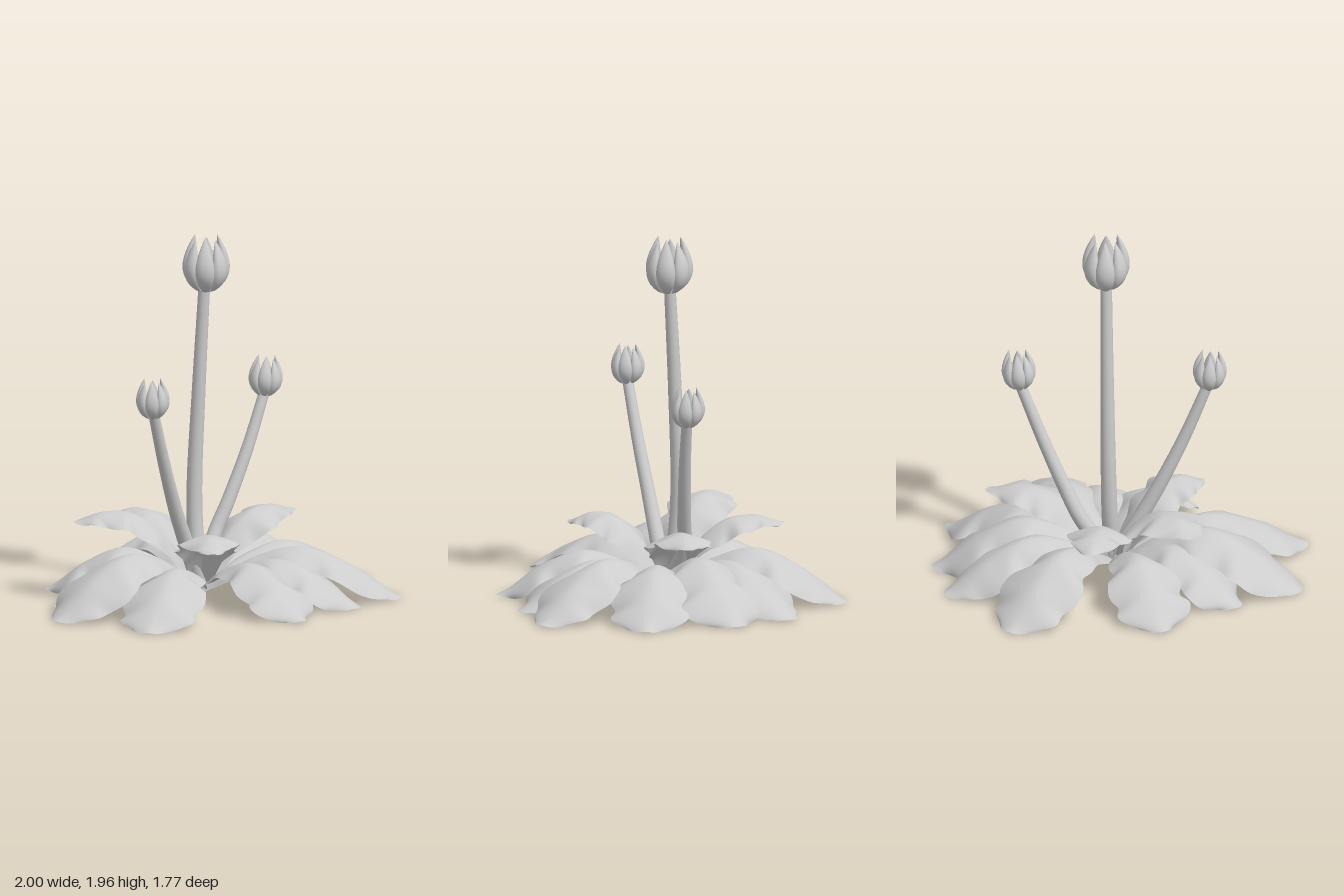
import * as THREE from 'three';
import { mergeVertices } from 'three/addons/utils/BufferGeometryUtils.js';

const plantGrey = new THREE.MeshStandardMaterial({ color: 0xcccccc, side: THREE.DoubleSide });
plantGrey.name = 'plantGrey';

// smooth interpolation of evenly spaced values, t in 0..1
const spline = (vals) => {
  const c = new THREE.SplineCurve(vals.map((v, i) => new THREE.Vector2(i, v)));
  return (t) => c.getPoint(t).y;
};
const lowerWidth = spline([0.16, 0.32, 0.46, 0.6, 0.76, 0.92, 1.0, 0.9, 0.36]);
const upperWidth = spline([0.22, 0.38, 0.58, 0.84, 1.0, 1.0, 0.88, 0.7, 0.36]);

// lobed, wavy, arched blade running from the crown to a tip
function leafGeometry(tx, tz, halfWidth, width, rise, seed) {
  const bx = 0.04, bz = 0, NT = 48, NS = 20;
  const len = Math.hypot(tx - bx, tz - bz);
  const dx = (tx - bx) / len, dz = (tz - bz) / len;
  const height = spline(rise);
  const pos = [], idx = [];
  for (let i = 0; i <= NT; i++) {
    const t = 1 - Math.pow(1 - i / NT, 1.25);
    for (let j = 0; j <= NS; j++) {
      const s = (j / NS) * 2 - 1, edge = Math.abs(s);
      const phase = seed + (s < 0 ? 0.9 : 0);
      // rounded lobes with tight notches between them
      const lobe = 1.09 - 0.2 * Math.pow(0.5 + 0.5 * Math.sin(t * 23 + phase), 2) * Math.min(1, t * 2);
      const half = halfWidth * width(t);
      const w = s * half * lobe;
      // the outer edge falls back at the tip
      const along = t * len - 0.05 * s * s * t * t;
      const ripple = 0.018 * edge * Math.min(1, t * 1.6) * Math.sin(t * 23 - edge * 2.5 + phase);
      // roof-like fall from the midrib, flattening towards the tip
      const droop = 0.66 * half * Math.pow(edge, 1.6) * (1 - 0.8 * t * t);
      const y = Math.max(0.002, height(t) - droop + ripple * (1 - 0.6 * t));
      pos.push(bx + dx * along - dz * w, y, bz + dz * along + dx * w);
      if (i < NT && j < NS) {
        const a = i * (NS + 1) + j, b = a + NS + 1;
        idx.push(a, a + 1, b, b, a + 1, b + 1);
      }
    }
  }
  const g = new THREE.BufferGeometry();
  g.setAttribute('position', new THREE.Float32BufferAttribute(pos, 3));
  g.setIndex(idx);
  g.computeVertexNormals();
  return g;
}

// tapered round stem along a curve
function stemGeometry(points, r0, r1) {
  const curve = new THREE.CatmullRomCurve3(points.map((p) => new THREE.Vector3(...p)));
  const n = 32, sides = 14;
  const g = new THREE.TubeGeometry(curve, n, 1, sides);
  const p = g.attributes.position, v = new THREE.Vector3();
  for (let i = 0; i < p.count; i++) {
    const t = Math.floor(i / (sides + 1)) / n, c = curve.getPointAt(t);
    v.fromBufferAttribute(p, i).sub(c).multiplyScalar(THREE.MathUtils.lerp(r0, r1, t)).add(c);
    p.setXYZ(i, v.x, v.y, v.z);
  }
  return g;
}

// pointed, plump petal bowed outwards along +z
function petalGeometry(height, bow) {
  const profile = [];
  for (let i = 0; i <= 16; i++) {
    const u = i / 16;
    profile.push(new THREE.Vector2(Math.pow(Math.sin(Math.PI * Math.pow(u, 0.8)), 0.95) + 1e-5, u));
  }
  let g = new THREE.LatheGeometry(profile, 14);
  const p = g.attributes.position;
  for (let i = 0; i < p.count; i++) {
    const u = p.getY(i);
    const out = bow * Math.sin(Math.PI * 0.76 * Math.pow(u, 0.55));
    p.setXYZ(i, p.getX(i) * 0.052, u * height, p.getZ(i) * 0.036 + out);
  }
  g.deleteAttribute('uv');
  g.deleteAttribute('normal');
  g = mergeVertices(g, 1e-4);
  g.computeVertexNormals();
  return g;
}

export function createModel() {
  const plant = new THREE.Group();
  plant.name = 'plant';
  const add = (parent, geometry, name) => {
    const m = new THREE.Mesh(geometry, plantGrey);
    m.name = name;
    parent.add(m);
    return m;
  };

  // lower rosette: tip x, tip z, half width, peak height
  const lower = [
    [-1.0, -0.14, 0.23, 0.3], [-0.94, 0.44, 0.21, 0.25], [-0.17, 0.88, 0.19, 0.25],
    [0.31, 0.88, 0.19, 0.24], [0.69, 0.86, 0.21, 0.28], [1.0, 0.37, 0.21, 0.26],
    [1.0, -0.14, 0.22, 0.29], [0.88, -0.48, 0.2, 0.26], [0.48, -0.88, 0.22, 0.28],
    [-0.34, -0.76, 0.2, 0.25], [-0.7, -0.4, 0.18, 0.24],
  ];
  lower.forEach(([x, z, w, peak], i) => {
    const rise = [0.06, peak * 0.76, peak, peak * 0.64, 0.01];
    add(plant, leafGeometry(x, z, w, lowerWidth, rise, i * 1.7), 'lowerLeaf' + (i + 1));
  });

  // upper rosette: tip x, tip z, half width, peak height, tip height
  const upper = [
    [-0.48, -0.45, 0.19, 0.48, 0.43], [0.08, -0.64, 0.16, 0.42, 0.375],
    [0.74, 0.06, 0.165, 0.43, 0.385], [-0.38, 0.43, 0.16, 0.41, 0.35],
  ];
  upper.forEach(([x, z, w, peak, tip], i) => {
    const rise = [0.06, peak * 0.66, peak * 0.95, peak, tip];
    add(plant, leafGeometry(x, z, w, upperWidth, rise, i * 2.1 + 0.6), 'upperLeaf' + (i + 1));
  });

  // flower stalks, each topped by a closed bud
  const stalks = [
    { name: 'tall', r: [0.047, 0.031], bud: [0.083, 1.645, 0], size: 1, tilt: 0,
      path: [[0.045, 0.05, 0], [0.055, 0.35, -0.05], [0.06, 0.6, -0.06], [0.07, 1.1, -0.04], [0.08, 1.69, -0.008]] },
    { name: 'right', r: [0.045, 0.029], bud: [-0.46, 1.05, 0.085], size: 0.71, tilt: 0.04,
      path: [[0.04, 0.05, 0], [-0.11, 0.32, 0.02], [-0.215, 0.52, 0.035], [-0.335, 0.78, 0.06], [-0.455, 1.08, 0.085]] },
    { name: 'left', r: [0.045, 0.029], bud: [0.548, 1.01, 0.02], size: 0.72, tilt: -0.08,
      path: [[0.05, 0.05, 0], [0.21, 0.3, -0.05], [0.3, 0.47, -0.03], [0.425, 0.74, 0], [0.548, 1.04, 0.02]] },
  ];
  const petals = [petalGeometry(0.315, 0.1), petalGeometry(0.295, 0.086)];
  const core = petalGeometry(0.27, 0);
  for (const s of stalks) {
    add(plant, stemGeometry(s.path, ...s.r), s.name + 'Stem');
    const bud = new THREE.Group();
    bud.name = s.name + 'Bud';
    bud.position.set(...s.bud);
    bud.rotation.z = s.tilt;
    bud.scale.setScalar(s.size);
    for (let k = 0; k < 6; k++) {
      add(bud, petals[(k + 1) % 2], 'petal' + (k + 1)).rotation.y = (k * Math.PI) / 3 + 0.12;
    }
    add(bud, core, 'innerPetal');
    plant.add(bud);
  }
  return plant;
}
